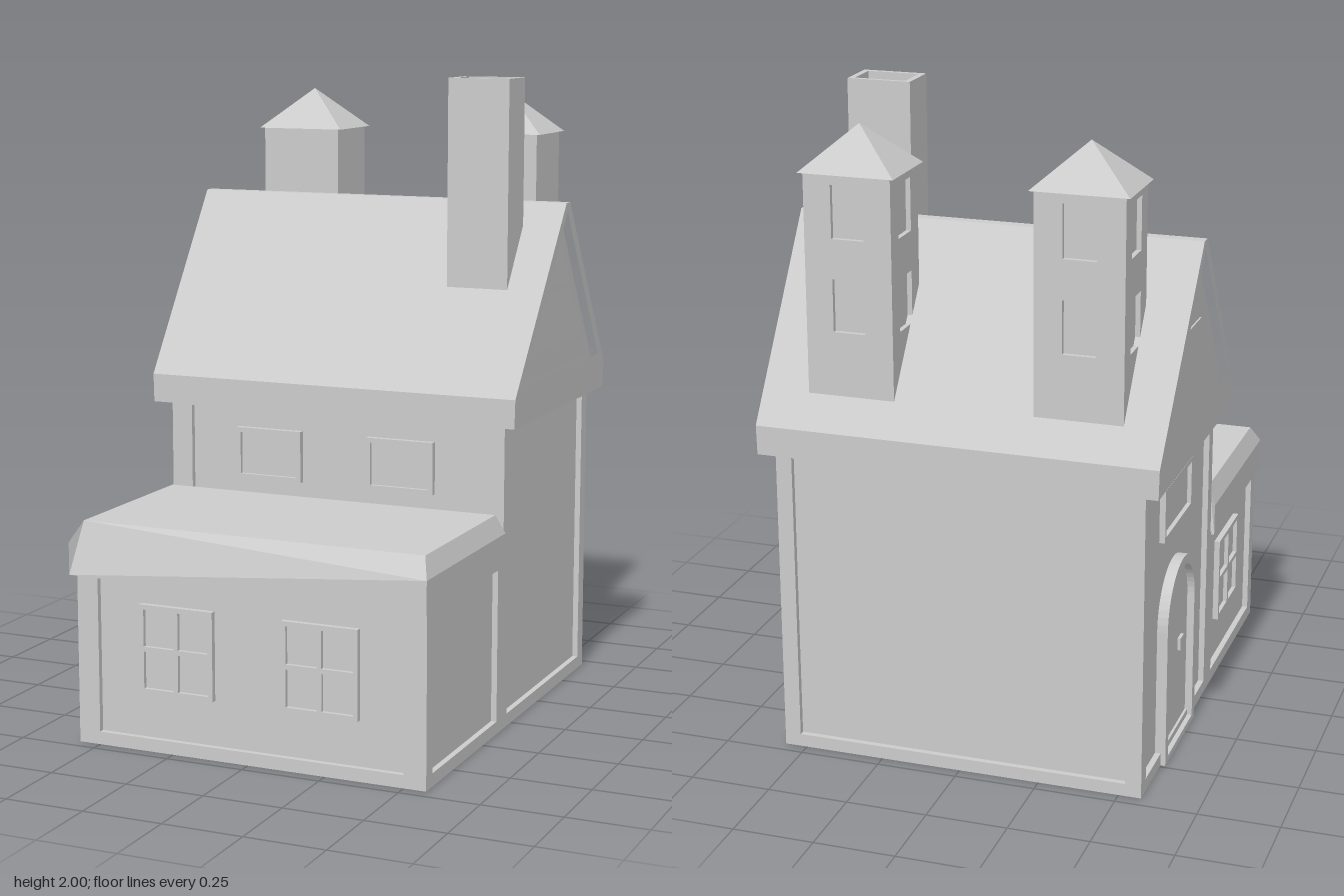
import * as THREE from 'three';

const mat = new THREE.MeshStandardMaterial({ color: 0xcccccc, flatShading: true });

function add(parent, name, geometry) {
  const mesh = new THREE.Mesh(geometry, mat);
  mesh.name = name;
  parent.add(mesh);
  return mesh;
}

// Box given by its extents
function box(parent, name, x0, x1, y0, y1, z0, z1) {
  const g = new THREE.BoxGeometry(x1 - x0, y1 - y0, z1 - z0);
  g.translate((x0 + x1) / 2, (y0 + y1) / 2, (z0 + z1) / 2);
  return add(parent, name, g);
}

const pts = (list) => list.map(([x, y]) => new THREE.Vector2(x, y));
const rect = (x0, x1, y0, y1) => [[x0, y0], [x1, y0], [x1, y1], [x0, y1]];

function plate(outline, holes, depth, curveSegments = 12) {
  const shape = outline instanceof THREE.Shape ? outline : new THREE.Shape(pts(outline));
  for (const h of holes) shape.holes.push(h instanceof THREE.Path ? h : new THREE.Path(pts(h)));
  return new THREE.ExtrudeGeometry(shape, { depth, bevelEnabled: false, curveSegments });
}

// Window facing local +z, centred on its origin, with a grid of panes
function windowFrame(parent, name, w, h, cols, rows, pos, rotY = 0) {
  const g = new THREE.Group();
  g.name = name;
  const t = 0.015, holes = [];
  const pw = (w - t * (cols + 1)) / cols, ph = (h - t * (rows + 1)) / rows;
  for (let i = 0; i < cols; i++) for (let j = 0; j < rows; j++) {
    const x = -w / 2 + t + i * (pw + t), y = -h / 2 + t + j * (ph + t);
    holes.push(rect(x, x + pw, y, y + ph));
  }
  add(g, 'windowFrame', plate(rect(-w / 2, w / 2, -h / 2, h / 2), holes, 0.02));
  box(g, 'windowPane', -w / 2 + 0.005, w / 2 - 0.005, -h / 2 + 0.005, h / 2 - 0.005, 0, 0.007);
  g.position.set(...pos);
  g.rotation.y = rotY;
  parent.add(g);
}

// Block with recessed walls between corner posts, a sill and a top band
function timberBlock(parent, name, top, z0, z1, frontPost, backPost) {
  const g = new THREE.Group();
  g.name = name;
  const X = 0.57, r = 0.018;
  box(g, 'walls', -X + r, X - r, 0.01, top, z0 + r, z1 - r);
  box(g, 'sill', -X, X, 0, 0.04, z0, z1);
  box(g, 'topBand', -X, X, top - 0.02, top, z0, z1);
  for (const s of [-1, 1]) {
    const post = (w, za, zb) => box(g, 'cornerPost', s > 0 ? X - w : -X, s > 0 ? X : -X + w, 0.04, top - 0.02, za, zb);
    post(0.07, z1 - frontPost, z1);
    post(0.05, z0, z0 + backPost);
  }
  parent.add(g);
}

// Extrudes a side profile of [z, y] points from x0 to x1, widening towards the ridge
function sideProfile(outline, holes, x0, x1) {
  const flip = (list) => list.map(([z, y]) => [-z, y]);
  const g = plate(flip(outline), holes.map(flip), x1 - x0);
  g.translate(0, 0, x0).rotateY(Math.PI / 2);
  const p = g.attributes.position;
  for (let i = 0; i < p.count; i++) p.setX(i, p.getX(i) * (1 + 0.037 * (p.getY(i) - 0.96)));
  g.computeVertexNormals();
  return g;
}

function mainRoof(parent) {
  const g = new THREE.Group();
  g.name = 'mainRoof';
  const outline = [[0.125, 0.96], [0.125, 1.05], [-0.292, 1.61], [-0.328, 1.61], [-0.74, 1.05], [-0.74, 0.96]];
  const triangle = [[0.065, 1.08], [-0.307, 1.58], [-0.675, 1.08]];
  const lower = [[-0.03, 1.155], [-0.155, 1.328], [-0.455, 1.328], [-0.58, 1.155]];
  const upper = [[-0.17, 1.345], [-0.28, 1.49], [-0.332, 1.49], [-0.44, 1.345]];
  add(g, 'roofCore', sideProfile(outline, [], -0.57, 0.57));
  for (const s of [-1, 1]) {
    const ends = (a, b) => (s > 0 ? [a, b] : [-b, -a]);
    add(g, 'gableRim', sideProfile(outline, [triangle], ...ends(0.57, 0.615)));
    add(g, 'gableBeams', sideProfile(triangle, [lower, upper], ...ends(0.57, 0.588)));
  }
  parent.add(g);
}

// Low roof with sloped edges on three sides
function annexRoof(parent) {
  const g = plate([[-0.58, 0.53], [0.58, 0.53], [0.58, 0.63], [0.555, 0.69], [-0.555, 0.69], [-0.58, 0.63]], [], 0.645);
  g.translate(0, 0, 0.095);
  const p = g.attributes.position;
  for (let i = 0; i < p.count; i++) {
    if (p.getY(i) < 0.68) continue;
    p.setZ(i, p.getZ(i) > 0.5 ? 0.69 : 0.12);
  }
  g.computeVertexNormals();
  add(parent, 'annexRoof', g);
  box(parent, 'annexRoofJoint', -0.55, 0.55, 0.53, 0.6, 0.05, 0.1);
}

// Square tower with a pyramid cap and recessed openings on two faces
function tower(parent, x) {
  const g = new THREE.Group();
  g.name = 'tower';
  const hw = 0.134, hd = 0.11, d = 0.015, y0 = 1.1, y1 = 1.81;
  box(g, 'towerCore', -hw + d, hw, y0, y1, -hd + d, hd);
  const openings = [rect(-0.05, 0.05, 1.34, 1.5), rect(-0.05, 0.05, 1.62, 1.78)];
  const back = add(g, 'towerBackWall', plate(rect(-hw, hw, y0, y1), openings, d));
  back.position.z = -hd;
  const side = add(g, 'towerSideWall', plate(rect(-hd, hd, y0, y1), openings, d));
  side.rotation.y = -Math.PI / 2;
  side.position.x = -hw + d;
  const cap = new THREE.ConeGeometry(Math.SQRT1_2, 0.13, 4);
  cap.rotateY(Math.PI / 4).scale(0.295, 1, 0.243).translate(0, y1 + 0.065, 0);
  add(g, 'towerCap', cap);
  g.position.set(x, 0, -0.56);
  parent.add(g);
}

function chimney(parent) {
  const g = plate(rect(0.305, 0.505, 0.1, 0.24), [rect(0.324, 0.486, 0.117, 0.226)], 0.7);
  g.rotateX(-Math.PI / 2).translate(0, 1.3, 0);
  add(parent, 'chimney', g);
  box(parent, 'chimneyFloor', 0.31, 0.5, 1.3, 1.7, -0.235, -0.105);
}

function archPath(Type, r, spring, base) {
  const s = new Type();
  s.moveTo(-r, base);
  s.lineTo(r, base);
  s.lineTo(r, spring);
  s.absarc(0, spring, r, 0, Math.PI, false);
  s.lineTo(-r, base);
  return s;
}

// Arched door on the right wall
function door(parent) {
  const g = new THREE.Group();
  g.name = 'door';
  const frame = plate(archPath(THREE.Shape, 0.175, 0.44, 0), [archPath(THREE.Path, 0.145, 0.44, 0.02)], 0.035);
  add(g, 'doorFrame', frame);
  add(g, 'doorLeaf', plate(archPath(THREE.Shape, 0.15, 0.44, 0.01), [], 0.012));
  box(g, 'doorHandle', 0.035, 0.075, 0.29, 0.33, 0.01, 0.022);
  for (const y of [0.13, 0.42]) box(g, 'doorHinge', -0.147, -0.115, y, y + 0.03, 0.01, 0.022);
  g.position.set(-0.55, 0, -0.315);
  g.rotation.y = -Math.PI / 2;
  parent.add(g);
}

export function createModel() {
  const house = new THREE.Group();
  house.name = 'house';
  timberBlock(house, 'mainBlock', 0.97, -0.71, 0.085, 0.045, 0.05);
  timberBlock(house, 'annex', 0.54, 0.08, 0.71, 0.05, 0.05);
  mainRoof(house);
  annexRoof(house);
  for (const x of [-0.357, 0.339]) tower(house, x);
  chimney(house);
  door(house);

  // Front windows
  for (const x of [-0.2375, 0.2325]) windowFrame(house, 'annexFrontWindow', 0.245, 0.275, 2, 2, [x, 0.3175, 0.69]);
  for (const x of [-0.2275, 0.2225]) windowFrame(house, 'upperFrontWindow', 0.225, 0.165, 1, 1, [x, 0.8075, 0.067]);
  // Right side windows
  windowFrame(house, 'annexSideWindow', 0.26, 0.275, 2, 2, [-0.55, 0.3175, 0.35], -Math.PI / 2);
  windowFrame(house, 'upperSideWindow', 0.32, 0.165, 1, 1, [-0.55, 0.8075, -0.325], -Math.PI / 2);
  return house;
}
